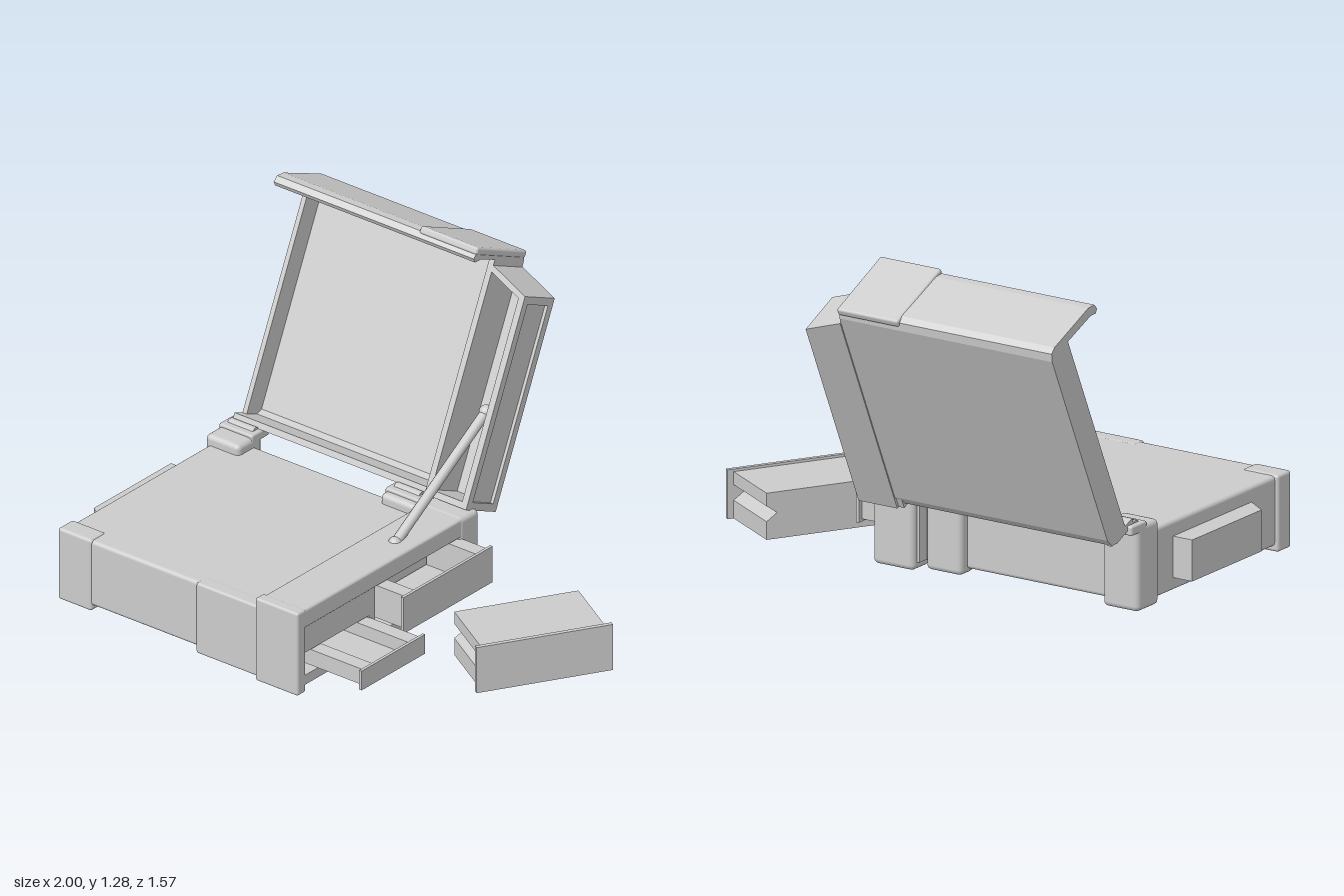
import * as THREE from 'three';
import { RoundedBoxGeometry } from 'three/addons/geometries/RoundedBoxGeometry.js';

const material = new THREE.MeshStandardMaterial({ color: 0xcccccc, side: THREE.DoubleSide });

function add(parent, name, geometry) {
  const mesh = new THREE.Mesh(geometry, material);
  mesh.name = name;
  parent.add(mesh);
  return mesh;
}

// Box given by its limits on each axis, with optional rounded edges
function block(parent, name, [x0, x1], [y0, y1], [z0, z1], radius = 0) {
  const size = [x1 - x0, y1 - y0, z1 - z0];
  const geometry = radius ? new RoundedBoxGeometry(...size, 2, radius) : new THREE.BoxGeometry(...size);
  const mesh = add(parent, name, geometry);
  mesh.position.set((x0 + x1) / 2, (y0 + y1) / 2, (z0 + z1) / 2);
  return mesh;
}

// Profile in (z, y), extruded along x from x0 to x1
function extrudeX(points, x0, x1, hole) {
  const shape = new THREE.Shape(points.map(([z, y]) => new THREE.Vector2(-z, y)));
  if (hole) shape.holes.push(new THREE.Path(hole.map(([z, y]) => new THREE.Vector2(-z, y))));
  return new THREE.ExtrudeGeometry(shape, { depth: x1 - x0, bevelEnabled: false })
    .rotateY(Math.PI / 2).translate(x0, 0, 0);
}

function rod(parent, name, a, b, radius) {
  const from = new THREE.Vector3(...a), to = new THREE.Vector3(...b);
  const mesh = add(parent, name, new THREE.CylinderGeometry(radius, radius, from.distanceTo(to), 12));
  mesh.position.copy(from).lerp(to, 0.5);
  mesh.quaternion.setFromUnitVectors(new THREE.Vector3(0, 1, 0), to.sub(from).normalize());
}

function buildBase() {
  const base = new THREE.Group();
  base.name = 'base';
  block(base, 'body', [-0.915, 0.06], [0.04, 0.31], [-0.2, 0.752], 0.015);
  block(base, 'frontPanel', [-0.27, 0.04], [0.018, 0.312], [0.7, 0.762], 0.01);
  block(base, 'frontRightPost', [0.03, 0.233], [0.015, 0.36], [0.735, 0.785], 0.01);
  block(base, 'backRightPost', [0.05, 0.233], [0.015, 0.36], [-0.275, -0.16], 0.02);
  block(base, 'backMiddlePost', [-0.14, 0.02], [0.02, 0.35], [-0.24, -0.15], 0.02);
  block(base, 'backLeftPost', [-0.93, -0.77], [0.02, 0.35], [-0.24, -0.1], 0.02);
  block(base, 'frontLeftPost', [-0.93, -0.77], [0.018, 0.315], [0.67, 0.757], 0.012);
  // drawer bay along the right side
  block(base, 'bayTop', [0.04, 0.23], [0.28, 0.357], [-0.25, 0.75], 0.01);
  block(base, 'bayBack', [0.04, 0.1], [0.05, 0.3], [-0.25, 0.74]);
  block(base, 'bayFloor', [0.04, 0.23], [0.045, 0.085], [-0.25, 0.74]);
  block(base, 'bayDivider', [0.04, 0.225], [0.05, 0.3], [0.325, 0.36]);
  block(base, 'bayPanel', [0.04, 0.225], [0.175, 0.3], [0.35, 0.74]);
  // bulging compartment on the left side
  const bulge = block(base, 'leftCompartment', [-1, -0.9], [0.09, 0.25], [0.01, 0.53]);
  const p = bulge.geometry.attributes.position;
  for (let i = 0; i < p.count; i++) if (p.getX(i) < 0 && p.getZ(i) > 0) p.setZ(i, p.getZ(i) - 0.07);
  bulge.geometry.computeVertexNormals();
  return base;
}

function buildLid() {
  const lid = new THREE.Group();
  lid.name = 'lid';
  lid.position.set(0, 0.37, -0.22);
  lid.rotation.x = -0.43;
  // bent sheet: bottom ledge, back and overhanging lip
  const sheet = [
    [-0.02, 0], [-0.14, 0], [-0.17, 0.015], [-0.185, 0.05], [-0.185, 0.91], [-0.175, 0.94], [-0.15, 0.952],
    [0.09, 0.947], [0.125, 0.935], [0.135, 0.91], [0.12, 0.897], [0.09, 0.91],
    [-0.13, 0.918], [-0.155, 0.9], [-0.155, 0.05], [-0.135, 0.03], [-0.02, 0.025],
  ];
  add(lid, 'lidSheet', extrudeX(sheet, -0.91, 0.04));
  block(lid, 'lipPlate', [-0.23, 0.043], [0.925, 0.955], [-0.186, 0.132], 0.01);
  block(lid, 'leftWall', [-0.91, -0.89], [0.01, 0.92], [-0.17, -0.07]);
  block(lid, 'rightWall', [0.015, 0.04], [0, 0.92], [-0.18, 0]);

  // side section: trough open to the front, framed outer wall, sloping top
  const slope = (geometry) => {
    const p = geometry.attributes.position;
    for (let i = 0; i < p.count; i++) if (p.getY(i) > 0.5) p.setY(i, p.getY(i) - 0.38 * (p.getX(i) - 0.04));
    geometry.computeVertexNormals();
    return geometry;
  };
  const rect = (d) => [[-d, d], [-0.19 + d, d], [-0.19 + d, 0.89 - d], [-d, 0.89 - d]];
  const trough = [[0, 0], [-0.19, 0], [-0.19, 0.89], [0, 0.89], [0, 0.865], [-0.165, 0.865], [-0.165, 0.025], [0, 0.025]];
  add(lid, 'sideTrough', slope(extrudeX(trough, 0.04, 0.195)));
  add(lid, 'sideWall', slope(extrudeX(rect(0.002), 0.185, 0.2)));
  add(lid, 'sideFrame', slope(extrudeX(rect(0), 0.195, 0.213, rect(0.03))));
  return lid;
}

// Pull-out tray: outer face looks along +x, the top is open
function buildTray(name, depth, height, width) {
  const tray = new THREE.Group();
  tray.name = name;
  const w = width / 2, t = 0.012;
  block(tray, 'trayFloor', [-depth, 0], [0.01, 0.01 + t], [-w + 0.02, w - 0.02]);
  block(tray, 'trayFace', [-t, 0], [0, height], [-w, w]);
  for (const s of [-1, 1]) {
    const z = s * (w - 0.05);
    block(tray, 'traySide', [-depth, 0], [0.01, height - 0.005], [z - 0.03, z + 0.03]);
  }
  return tray;
}

// Loose drawer: closed body with a V groove in each end
function buildLooseDrawer() {
  const drawer = new THREE.Group();
  drawer.name = 'looseDrawer';
  const half = [[0.243, 0.0], [0.243, 0.07], [0.2, 0.1], [0.243, 0.13], [0.243, 0.18]];
  const profile = [...half, ...half.map(([z, y]) => [-z, y]).reverse()];
  add(drawer, 'drawerBody', extrudeX(profile, -0.297, 0));
  block(drawer, 'drawerFace', [-0.005, 0.012], [0.0, 0.19], [-0.267, 0.267]);
  drawer.position.set(0.85, 0.013, 0.108);
  drawer.rotation.y = -0.54;
  return drawer;
}

export function createModel() {
  const model = new THREE.Group();
  model.name = 'openCase';
  model.add(buildBase(), buildLid(), buildLooseDrawer());

  const upper = buildTray('upperDrawer', 0.25, 0.15, 0.52);
  upper.position.set(0.36, 0.13, 0.065);
  const lower = buildTray('lowerDrawer', 0.36, 0.08, 0.37);
  lower.position.set(0.472, 0.09, 0.52);
  model.add(upper, lower);

  // hinges
  for (const x of [-0.85, -0.06]) {
    block(model, 'hingePlate', [x - 0.08, x + 0.08], [0.325, 0.362], [-0.28, -0.18], 0.008);
    rod(model, 'hingePin', [x - 0.06, 0.352, -0.225], [x + 0.06, 0.352, -0.225], 0.02);
  }

  // support strut
  const a = [0.145, 0.345, 0.11], b = [0.145, 0.675, -0.42];
  rod(model, 'strut', a, b, 0.02);
  for (const end of [a, b]) add(model, 'strutEnd', new THREE.SphereGeometry(0.027, 14, 10)).position.set(...end);
  return model;
}
